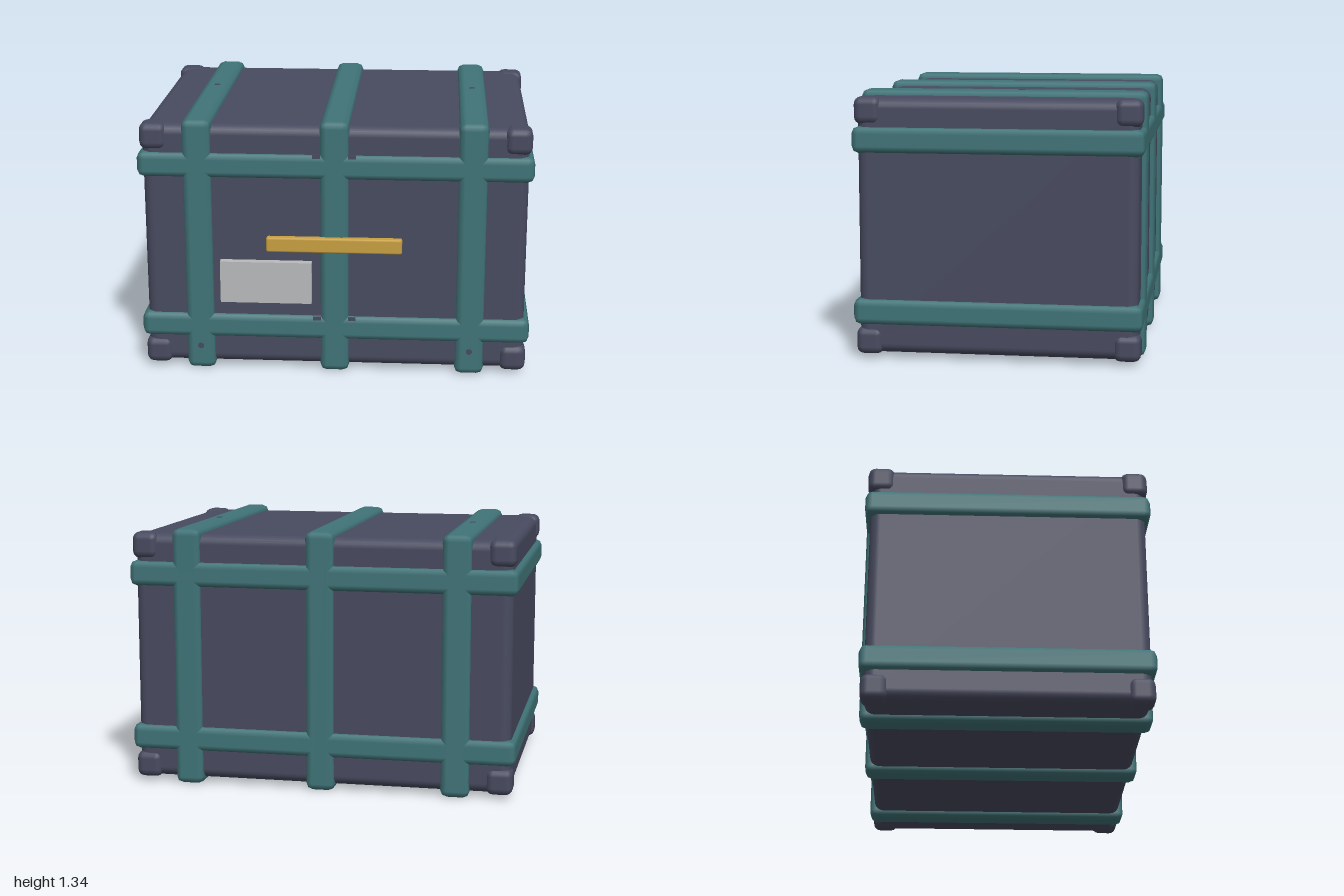
import * as THREE from 'three';
import { RoundedBoxGeometry } from 'three/addons/geometries/RoundedBoxGeometry.js';

const material = (name, color) => {
  const m = new THREE.MeshStandardMaterial({ color });
  m.name = name;
  return m;
};

export function createModel() {
  const slate = material('slate', 0x484b60);
  const teal = material('teal', 0x407478);
  const brass = material('brass', 0xc9a041);
  const paper = material('paper', 0xb8babc);
  const group = new THREE.Group();
  group.name = 'trunk';

  const add = (name, geometry, mat, x, y, z) => {
    const mesh = new THREE.Mesh(geometry, mat);
    mesh.name = name;
    mesh.position.set(x, y, z);
    group.add(mesh);
    return mesh;
  };
  const rounded = (w, h, d, r, segments = 1) => new RoundedBoxGeometry(w, h, d, segments, r);

  const midY = 0.667, midZ = -0.013; // centre of the trunk box

  // Trunk body
  add('body', rounded(1.946, 1.276, 1.392, 0.05, 3), slate, 0, midY, midZ);

  // Straps running over the top, front, bottom and back
  for (const x of [-0.695, 0, 0.695])
    add('verticalStrap', rounded(0.15, 1.334, 1.444, 0.035), teal, x, midY, midZ);

  // Bands running around the sides
  for (const y of [0.24, 1.1])
    add('horizontalBand', rounded(2, 0.132, 1.444, 0.035), teal, 0, y, midZ);

  // Corner caps
  for (const sx of [-1, 1])
    for (const sy of [-1, 1])
      for (const sz of [-1, 1])
        add('cornerCap', rounded(0.136, 0.136, 0.136, 0.038, 2), slate,
          sx * 0.918, midY + sy * 0.577, midZ + sz * 0.644);

  // Flush rivets in the outer straps
  const rivet = new THREE.CylinderGeometry(0.016, 0.016, 0.006, 10);
  for (const x of [-0.695, 0.695]) {
    add('topRivet', rivet, slate, x, 1.333, -0.1);
    add('frontRivet', rivet, slate, x, 0.13, 0.708).rotation.x = Math.PI / 2;
  }

  // Small clasp plates beside the middle strap
  for (const x of [-0.09, 0.09])
    for (const y of [0.292, 1.157])
      add('claspPlate', new THREE.BoxGeometry(0.04, 0.02, 0.008), slate, x, y, 0.7);

  // Front handle and label
  add('handle', rounded(0.69, 0.078, 0.045, 0.01), brass, 0, 0.698, 0.7125);
  add('label', new THREE.BoxGeometry(0.468, 0.22, 0.045), paper, -0.35, 0.49, 0.7);

  return group;
}
